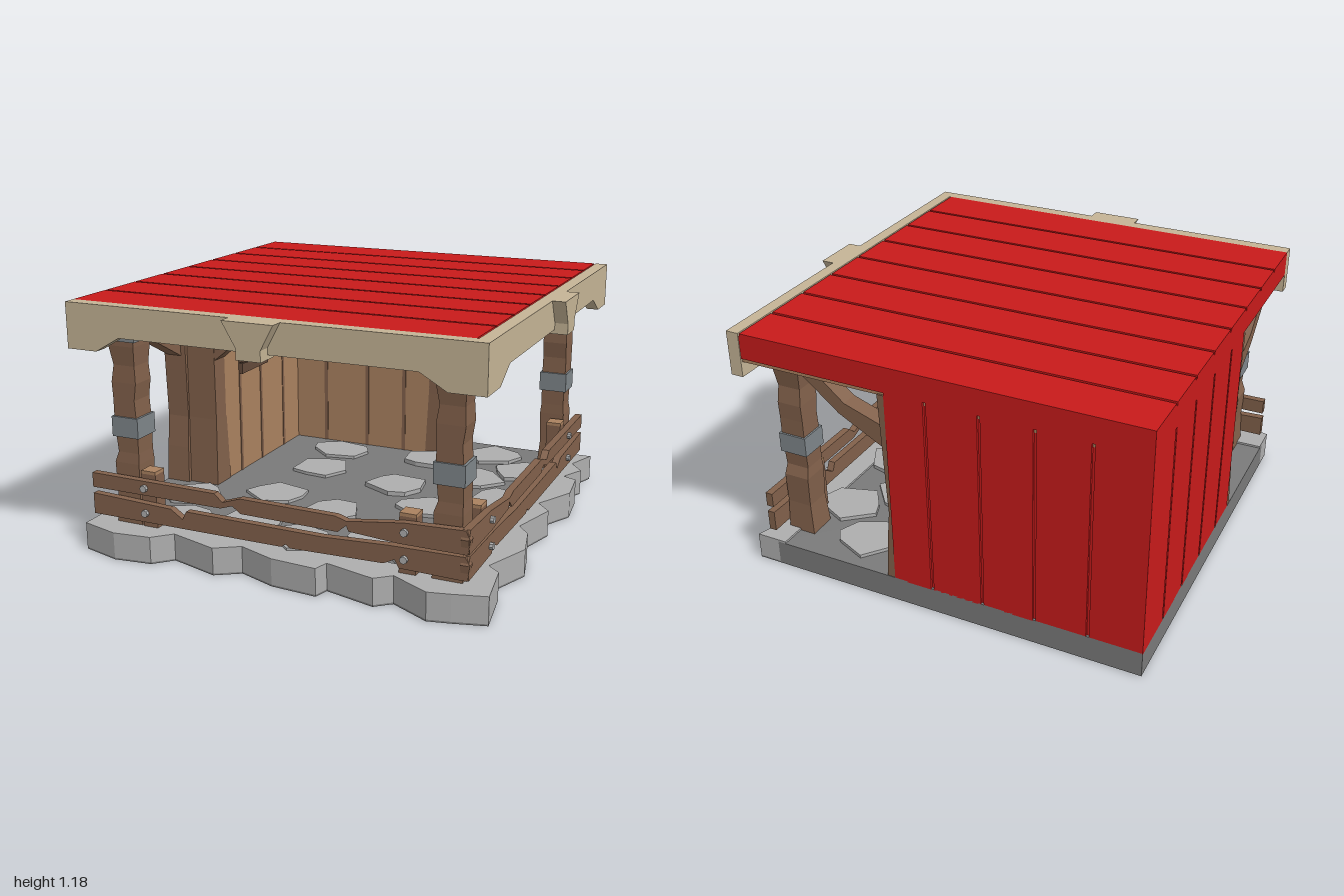
import * as THREE from 'three';

const mat = (name, color) => {
  const m = new THREE.MeshStandardMaterial({ color });
  m.name = name;
  return m;
};

export function createModel() {
  const root = new THREE.Group();
  root.name = 'cornerShelter';
  const red = mat('red boards', 0xc81a1a);
  const beige = mat('beige trim', 0xc5b496);
  const wood = mat('brown wood', 0x82614b);
  const lightWood = mat('light wood', 0xab8260);
  const darkWood = mat('dark wood', 0x634a3b);
  const stone = mat('light stone', 0xaeaeae);
  const floorGrey = mat('dark stone', 0x7a7a7a);
  const metal = mat('grey metal', 0x7f868a);

  const add = (name, geo, material) => {
    const flat = geo.index ? geo.toNonIndexed() : geo;
    flat.computeVertexNormals();
    const mesh = new THREE.Mesh(flat, material);
    mesh.name = name;
    root.add(mesh);
  };
  // Reflection across the x = z diagonal, with the corner order reversed
  const reflect = (geo) => {
    const g = geo.index ? geo.toNonIndexed() : geo.clone();
    const p = g.attributes.position;
    const src = p.array.slice();
    for (let i = 0; i < p.count; i++) {
      const j = 3 * (i - (i % 3) + [0, 2, 1][i % 3]);
      p.setXYZ(i, src[j + 2], src[j + 1], src[j]);
    }
    return g;
  };
  const pair = (name, geo, material) => {
    add(name + 'Front', geo, material);
    add(name + 'Right', reflect(geo), material);
  };
  const box = (x0, x1, y0, y1, z0, z1) =>
    new THREE.BoxGeometry(x1 - x0, y1 - y0, z1 - z0).translate((x0 + x1) / 2, (y0 + y1) / 2, (z0 + z1) / 2);
  // Upright panel from x,y points
  const panel = (pts, z0, z1) =>
    new THREE.ExtrudeGeometry(new THREE.Shape(pts.map((p) => new THREE.Vector2(...p))),
      { depth: z1 - z0, bevelEnabled: false }).translate(0, 0, z0);
  // Flat slab from x,z points
  const slab = (pts, y0, y1) =>
    new THREE.ExtrudeGeometry(new THREE.Shape(pts.map(([x, z]) => new THREE.Vector2(x, -z))),
      { depth: y1 - y0, bevelEnabled: false }).rotateX(-Math.PI / 2).translate(0, y0, 0);
  // Hewn square post; each section is [y, half width x, half width z, shift x, shift z]
  const post = (cx, cz, sections) => {
    const g = new THREE.BoxGeometry(1, 1, 1, 1, sections.length - 1, 1);
    const p = g.attributes.position;
    for (let i = 0; i < p.count; i++) {
      const s = sections[Math.round((p.getY(i) + 0.5) * (sections.length - 1))];
      p.setXYZ(i, cx + s[3] + 2 * s[1] * p.getX(i), s[0], cz + s[4] + 2 * s[2] * p.getZ(i));
    }
    return g;
  };

  // Stone base with uneven front and right edges
  const frontEdge = [[-1, 0.9], [-0.81, 0.952], [-0.63, 0.93], [-0.55, 0.85], [-0.31, 0.92], [-0.2, 0.85],
    [-0.02, 0.915], [0.2, 0.93], [0.22, 0.86], [0.46, 0.92], [0.53, 0.86], [0.71, 0.952], [0.81, 0.93]];
  const rightEdge = [[0.957, 0.89], [0.92, 0.65], [0.86, 0.6], [0.952, 0.37], [0.91, 0.19], [0.85, 0.12],
    [0.92, -0.12], [0.85, -0.2], [0.952, -0.4], [0.93, -0.6], [0.86, -0.63], [0.92, -0.75], [0.85, -0.84], [0.91, -1]];
  const edge = [...frontEdge, ...rightEdge];
  add('baseUnderside', slab([...edge, [-1, -1]], 0, 0.008), floorGrey);
  add('floor', box(-1, 0.8, 0.004, 0.12, -1, 0.8), floorGrey);
  add('edgeStones', slab([...edge, [0.76, -1], [0.74, 0.74], [-1, 0.76]], 0.008, 0.13), stone);
  const flags = [[-0.74, 0.36], [-0.37, 0.19], [-0.34, -0.25], [-0.38, -0.56], [0.45, -0.42], [0.43, -0.8],
    [-0.02, 0.3], [0.38, 0.07], [0.3, 0.5], [0.65, -0.6], [0.66, -0.16], [0.62, 0.3], [-0.3, 0.55],
    [-0.64, 0.65], [0, 0.66], [0.58, 0.62], [0.13, -0.15], [0.15, -0.6]];
  flags.forEach(([x, z], k) => {
    const pts = [];
    for (let i = 0; i < 7; i++) {
      const a = -(i + 0.25 * Math.sin(k * 3 + i * 2)) / 7 * Math.PI * 2;
      const r = 0.135 + 0.015 * Math.sin(k * 5 + i * 4);
      pts.push([x + 1.12 * r * Math.cos(a), z + r * Math.sin(a)]);
    }
    add('flagstone', slab(pts, 0.115, 0.134 + 0.0005 * k), stone);
  });

  // Roof of red boards with narrow gaps, above a wooden ceiling
  add('ceiling', box(-0.99, 0.88, 1.04, 1.06, -0.99, 0.88), lightWood);
  add('roofCore', box(-1, 0.877, 1.06, 1.166, -1, 0.88), red);
  for (let i = 0, start = -1; i < 8; i++) {
    const end = i < 7 ? -0.775 + i * 0.235 : 0.88;
    add('roofBoard', box(-1, 0.872, 1.166, 1.18, start, end), red);
    start = end + 0.014;
  }

  // Beige roof trim with drop ends and a central wedge
  pair('trim', panel([[-1, 0.97], [-0.85, 0.97], [-0.73, 1.04], [0.66, 1.04], [0.78, 0.97],
    [0.94, 0.97], [0.94, 1.18], [-1, 1.18]], 0.88, 0.94), beige);
  pair('trimWedge', panel([[-0.18, 1.18], [-0.115, 1.07], [-0.115, 1.02], [0, 1.02], [0, 1.07],
    [0.06, 1.18]], 0.89, 1.0), beige);

  // Corner walls: red boards outside, thick light planking inside
  pair('outerWall', box(-0.99, 0.17, 0.115, 1.06, -0.988, -0.9), red);
  const seams = [-0.755, -0.51, -0.265, -0.02, 0.177];
  seams.forEach((x, i) =>
    pair('wallBoard', box(i ? seams[i - 1] + 0.007 : -1, x - 0.007, 0.115, 1.06, -1, -0.988), red));
  pair('innerWall', box(-0.95, 0.08, 0.12, 1.045, -0.9, -0.72), lightWood);
  [-0.54, -0.29, -0.07].forEach((x) =>
    pair('plankSeam', box(x - 0.01, x + 0.01, 0.12, 1.04, -0.73, -0.717), wood));
  pair('wallEndPost', post(0.135, -0.935, [[0.12, 0.075, 0.063, 0, 0], [0.3, 0.065, 0.06, 0, 0],
    [0.46, 0.05, 0.058, 0, 0], [0.7, 0.058, 0.06, 0, 0], [1.045, 0.068, 0.063, 0, 0]]), wood);
  pair('wallJamb', post(0.125, -0.8, [[0.12, 0.065, 0.085, 0, 0], [0.46, 0.05, 0.08, 0, 0],
    [1.045, 0.055, 0.08, 0, 0]]), wood);

  // Curved braces from each wall end, one outward and one inward
  pair('roofBrace', panel([[0.18, 0.77], [0.41, 0.895], [0.59, 1.045], [0.49, 1.045], [0.38, 0.95],
    [0.18, 0.88]], -0.98, -0.9), wood);
  pair('innerBrace', panel([[-0.88, 0.7], [-0.74, 0.75], [-0.54, 0.91], [-0.54, 0.97],
    [-0.76, 0.81], [-0.88, 0.76]], 0.075, 0.175), wood);

  // Inner beams
  pair('innerBeam', box(-0.55, 0.18, 0.91, 0.96, -0.55, -0.47), wood);
  pair('upperBeam', box(-0.55, 0.18, 0.96, 1.045, -0.55, -0.48), wood);

  // Small windows partly covered by rough boards
  pair('windowFrame', box(-0.48, -0.27, 0.83, 1.0, -0.722, -0.714), metal);
  pair('windowPane', box(-0.46, -0.29, 0.85, 0.98, -0.72, -0.711), darkWood);
  [[0.645, 0.7], [0.703, 0.775], [0.778, 0.85]].forEach(([a, b], i) =>
    pair('windowBoard', panel([[-0.335, a], [-0.2, a + 0.006 * (i % 2)], [-0.06, a], [-0.06, b],
      [-0.17, b - 0.01], [-0.335, b]], -0.72, -0.698), darkWood));
  pair('boardBacking', box(-0.325, -0.07, 0.66, 0.835, -0.72, -0.706), darkWood);

  // Hewn roof posts with metal bands and caps
  const hewn = [[0.12, 0.068, 0.068, 0, 0], [0.27, 0.06, 0.06, 0, 0.004], [0.42, 0.064, 0.062, -0.003, 0],
    [0.47, 0.054, 0.057, 0.005, 0], [0.6, 0.06, 0.06, 0, 0], [0.72, 0.056, 0.06, -0.004, 0],
    [0.8, 0.064, 0.06, 0, 0], [0.88, 0.055, 0.056, 0.004, 0], [0.97, 0.066, 0.066, 0, 0], [1.045, 0.066, 0.066, 0, 0]];
  const roofPost = (put, x, z) => {
    put('roofPost', post(x, z, hewn), wood);
    put('postBand', box(x - 0.069, x + 0.069, 0.545, 0.64, z - 0.069, z + 0.069), metal);
    put('postCap', box(x - 0.08, x + 0.08, 0.995, 1.042, z - 0.08, z + 0.08), metal);
  };
  roofPost(add, 0.75, 0.75);
  roofPost(pair, -0.81, 0.75);

  // Broken fence rails on short stakes with bolts
  pair('upperRail', panel([[-0.98, 0.295], [-0.3, 0.295], [-0.24, 0.315], [-0.2, 0.285], [0.27, 0.28], [0.31, 0.315],
    [0.32, 0.29], [0.55, 0.275], [0.85, 0.275], [0.86, 0.34], [0.84, 0.38], [0.57, 0.37], [0.31, 0.335], [0.26, 0.35],
    [-0.2, 0.355], [-0.29, 0.325], [-0.33, 0.36], [-0.98, 0.365]], 0.82, 0.855), wood);
  pair('lowerRail', panel([[-0.98, 0.165], [0, 0.165], [0.02, 0.18], [0.04, 0.165], [0.48, 0.175], [0.53, 0.2],
    [0.55, 0.165], [0.85, 0.16], [0.86, 0.23], [0.84, 0.265], [0.5, 0.26], [0.2, 0.245], [-0.48, 0.25],
    [-0.5, 0.21], [-0.56, 0.25], [-0.98, 0.265]], 0.82, 0.855), wood);
  [-0.695, 0.575].forEach((x) => {
    pair('railStake', box(x - 0.038, x + 0.038, 0.12, 0.385, 0.75, 0.822), wood);
    pair('stakeTop', box(x - 0.038, x + 0.038, 0.385, 0.4, 0.75, 0.822), lightWood);
    [0.21, 0.33].forEach((y) => pair('railBolt',
      new THREE.CylinderGeometry(0.017, 0.017, 0.02, 8).rotateX(Math.PI / 2).translate(x, y, 0.861), stone));
  });

  return root;
}
